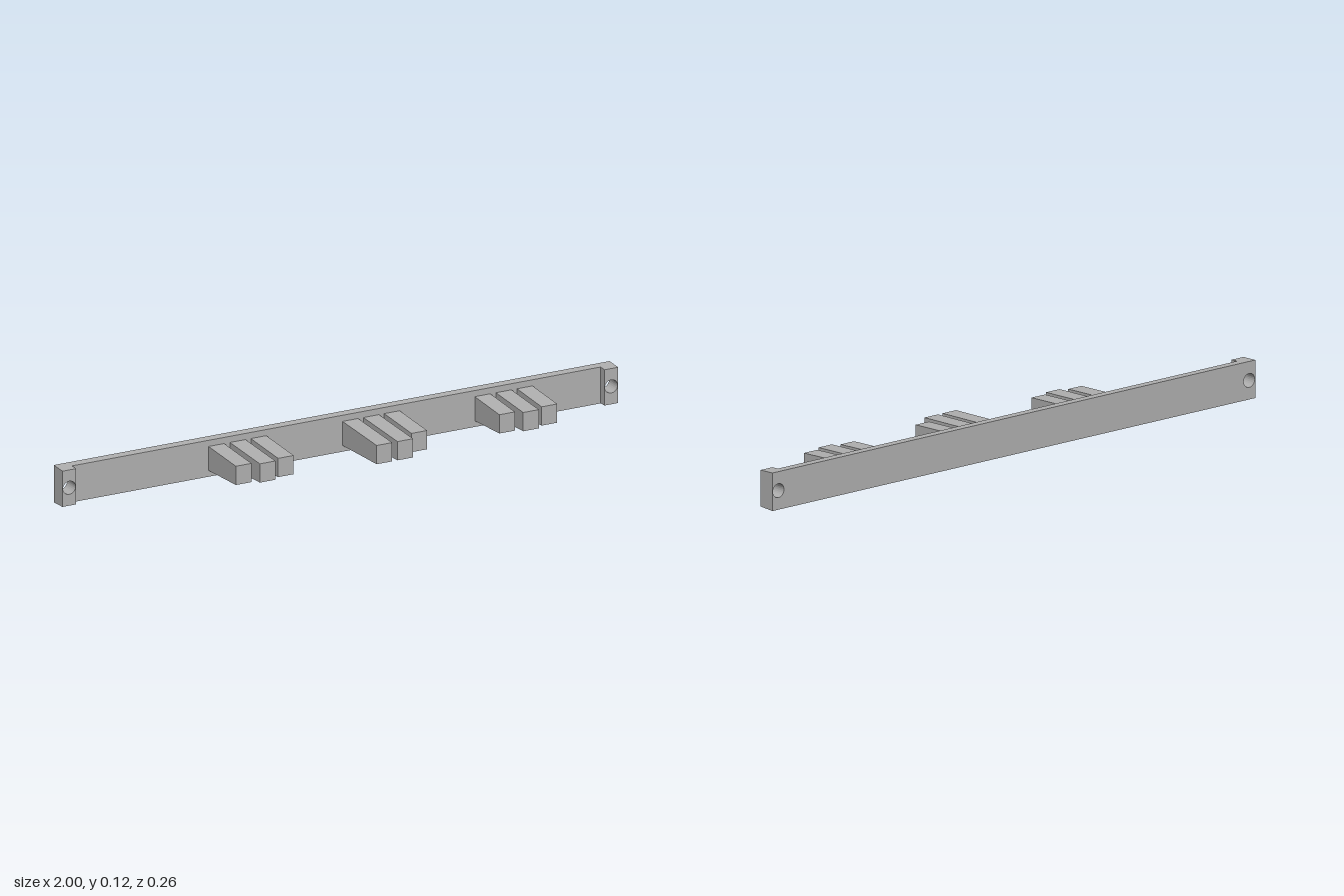
import * as THREE from 'three';

const MID = 0.0635;               // height of the long axis
const BACK = -0.128, FACE = -0.097, PAD = -0.071;

// Scale y linearly from half-height h0 at z0 to h1 at z1
function taperY(geo, base, z0, h0, z1, h1) {
  const p = geo.attributes.position;
  for (let i = 0; i < p.count; i++) {
    const t = (p.getZ(i) - z0) / (z1 - z0);
    p.setY(i, MID + (p.getY(i) / base) * (h0 + (h1 - h0) * t));
  }
  geo.computeVertexNormals();
  return geo;
}

// Rectangle with round screw holes, extruded along z
function drilledSlab(x0, x1, holes, z0, z1) {
  const h = 0.0625;
  const s = new THREE.Shape();
  s.moveTo(x0, -h);
  s.lineTo(x1, -h);
  s.lineTo(x1, h);
  s.lineTo(x0, h);
  s.closePath();
  for (const x of holes) {
    const c = new THREE.Path();
    c.absarc(x, 0, 0.023, 0, Math.PI * 2, true);
    s.holes.push(c);
  }
  const g = new THREE.ExtrudeGeometry(s, { depth: z1 - z0, bevelEnabled: false, curveSegments: 12 });
  g.translate(0, 0, z0);
  return taperY(g, h, BACK, 0.0625, PAD, 0.06);
}

export function createModel() {
  const model = new THREE.Group();
  model.name = 'wallRail';
  const grey = new THREE.MeshStandardMaterial({ color: 0xb0b0b0 });
  grey.name = 'plain grey';

  const add = (name, geo) => {
    const m = new THREE.Mesh(geo, grey);
    m.name = name;
    model.add(m);
  };

  // Long back plate and the raised pads around its screw holes
  add('backPlate', drilledSlab(-1, 1, [-0.975, 0.975], BACK, FACE));
  add('leftEndPad', drilledSlab(0.951, 1, [0.975], FACE, PAD));
  add('rightEndPad', drilledSlab(-1, -0.951, [-0.975], FACE, PAD));

  // Three groups of tapered pegs: [centre x, tip z]
  const pegs = [
    [-0.432, 0.083], [-0.355, 0.1], [-0.28, 0.083],
    [0.05, 0.128], [0.125, 0.128], [0.2, 0.083],
    [0.526, 0.065], [0.602, 0.083], [0.678, 0.065],
  ];
  pegs.forEach(([x, tip], i) => {
    const g = new THREE.BoxGeometry(0.056, 1, tip - FACE);
    g.translate(x, 0, (tip + FACE) / 2);
    add('peg' + (i + 1), taperY(g, 0.5, FACE, 0.0405, tip, 0.0315));
  });
  return model;
}
